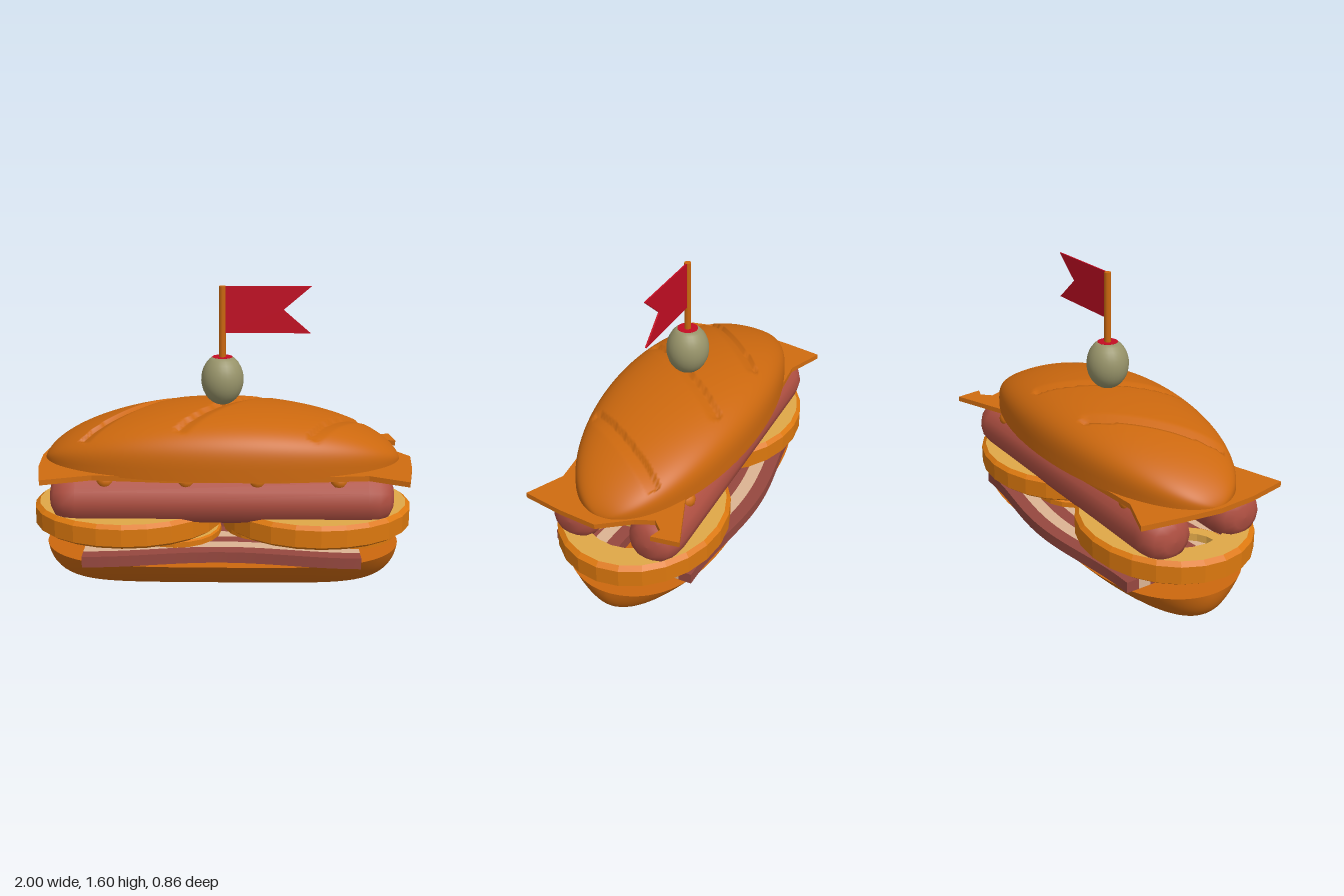
import * as THREE from 'three';

const mat = (name, color, flat = false) => {
  const m = new THREE.MeshStandardMaterial({ color });
  m.name = name;
  m.flatShading = flat;
  return m;
};

export function createModel() {
  const model = new THREE.Group();
  const M = {
    bun: mat('crust', 0xcc680e),
    cheese: mat('cheese', 0xcf6c10),
    batter: mat('batter', 0xdc780e, true),
    onion: mat('onion', 0xe0a848),
    sausage: mat('sausage', 0xb05042),
    bacon: mat('bacon red', 0x96483f),
    fat: mat('bacon fat', 0xdcb492),
    olive: mat('olive', 0x98946a),
    red: mat('red', 0xc40d23),
  };
  M.red.side = THREE.DoubleSide;

  const add = (name, geo, material, x = 0, y = 0, z = 0, parent = model) => {
    const mesh = new THREE.Mesh(geo, material);
    mesh.name = name;
    mesh.position.set(x, y, z);
    parent.add(mesh);
    return mesh;
  };

  // Grid surface from f(u, v), both -1..1; up selects the facing side
  const surface = (f, nu, nv, up) => {
    const pos = [], idx = [];
    for (let i = 0; i <= nu; i++)
      for (let j = 0; j <= nv; j++) pos.push(...f((i / nu) * 2 - 1, (j / nv) * 2 - 1));
    for (let i = 0; i < nu; i++)
      for (let j = 0; j < nv; j++) {
        const a = i * (nv + 1) + j, b = a + 1, c = a + nv + 1, d = c + 1;
        idx.push(...(up ? [a, b, c, b, d, c] : [a, c, b, b, c, d]));
      }
    const g = new THREE.BufferGeometry();
    g.setAttribute('position', new THREE.Float32BufferAttribute(pos, 3));
    g.setIndex(idx);
    g.computeVertexNormals();
    return g;
  };
  const ease = (t) => Math.sin((t * Math.PI) / 2);
  const clamp0 = (v) => Math.max(0, v);

  // Bottom bun: shallow boat shape with a flat cut face
  const bottom = (h) => (u, v) => {
    const e = ease(u), t = ease(v);
    const halfWidth = 0.4 * Math.sqrt(clamp0(1 - e ** 4));
    const drop = h * Math.sqrt(clamp0(1 - e ** 8)) * (1 - t * t);
    return [0.94 * e, 0.235 - drop, halfWidth * t];
  };
  add('bottomBun', surface(bottom(0.23), 48, 24, false), M.bun);
  add('bottomBunCut', surface(bottom(0), 48, 4, true), M.bun);

  // Top bun: loaf dome with three diagonal scores, steep on one side
  const scores = [
    [-0.72, 0.19, -0.22, -0.3],
    [-0.23, 0.29, 0.24, -0.3],
    [0.43, 0.28, 0.74, -0.21],
  ];
  const scoreDepth = (x, z) => {
    let depth = 0;
    for (const [x0, z0, x1, z1] of scores) {
      const dx = x1 - x0, dz = z1 - z0, len = Math.hypot(dx, dz);
      const along = ((x - x0) * dx + (z - z0) * dz) / len;
      const across = ((x - x0) * -dz + (z - z0) * dx) / len;
      if (along > 0 && along < len && across > 0 && across < 0.07)
        depth = 0.022 * (1 - across / 0.07);
    }
    return depth;
  };
  const top = (h) => (u, v) => {
    const e = ease(u), t = ease(v), k = clamp0(1 - e * e);
    const x = 0.93 * e, z = 0.41 * Math.sqrt(k) * t;
    const rise = h * k ** 0.6 * clamp0(1 - t * t) ** 0.25;
    return [x, 0.695 + rise - (h ? Math.min(rise, scoreDepth(x, z)) : 0), z];
  };
  add('topBun', surface(top(0.302), 150, 70, true), M.bun);
  add('topBunCut', surface(top(0), 48, 4, false), M.bun);

  // Bacon: two wavy rashers of five stripes each
  [0.2, -0.22].forEach((zc, r) => {
    const rasher = new THREE.Group();
    rasher.name = r ? 'backBacon' : 'frontBacon';
    model.add(rasher);
    for (let s = -2; s <= 2; s++) {
      const g = new THREE.BoxGeometry(1.41, 0.058, 0.07, 28, 1, 1);
      const p = g.attributes.position;
      for (let i = 0; i < p.count; i++)
        p.setZ(i, p.getZ(i) - 0.035 * Math.cos((p.getX(i) / 0.7) * Math.PI));
      g.computeVertexNormals();
      add('baconStripe', g, s % 2 ? M.fat : M.bacon, 0, 0.265, zc + s * 0.07, rasher);
    }
  });

  // Onion rings: battered outer wall, pale top, hole and underside
  const ring = (name, x, z, rx, rz, y0, y1, sides) => {
    const g = new THREE.Group();
    g.name = name;
    g.position.set(x, 0, z);
    g.scale.set(rx, 1, rz);
    model.add(g);
    const h = y1 - y0;
    const pts = (list) => list.map(([r, f]) => new THREE.Vector2(r, y0 + f * h));
    add('batter', new THREE.LatheGeometry(pts([[0.94, 0], [1, 0.15], [1, 0.85], [0.95, 1]]), sides), M.batter, 0, 0, 0, g);
    const inner = new THREE.LatheGeometry(pts([[0.95, 1], [0.7, 1], [0.7, 0], [0.94, 0]]), sides).toNonIndexed();
    inner.computeVertexNormals();
    add('onion', inner, M.onion, 0, 0, 0, g);
  };
  for (const s of [-1, 1]) ring('largeOnionRing', s * 0.5, 0, 0.5, 0.425, 0.335, 0.465, 24);
  [[-0.68, 0.02], [-0.24, 0.06], [0.24, -0.03], [0.68, 0.06]].forEach(([x, z]) =>
    ring('smallOnionRing', x, z, 0.235, 0.245, 0.295, 0.336, 20));

  // Sausages lying side by side
  const end = [[0, 0.88], [0.06, 0.875], [0.105, 0.85], [0.132, 0.8], [0.14, 0.74]];
  const profile = [
    ...end.map(([r, y]) => new THREE.Vector2(r, -y)),
    ...end.slice().reverse().map(([r, y]) => new THREE.Vector2(r, y)),
  ];
  for (const z of [0.21, -0.21])
    add('sausage', new THREE.LatheGeometry(profile, 14), M.sausage, 0, 0.552, z).rotation.z = Math.PI / 2;

  // Sauce drops on the sausages
  for (const x of [-0.59, -0.18, 0.18, 0.59])
    for (const z of [0.28, -0.28])
      add('sauceDrop', new THREE.SphereGeometry(0.045, 12, 8), M.cheese, x, 0.66, z);

  // Cheese slice with pointed corners and a bite in one end
  const outline = [
    [-0.88, 0.41], [-0.68, 0.33], [-0.3, 0.36], [0.3, 0.36], [0.62, 0.29], [0.93, 0.41],
    [0.95, 0.27], [0.89, 0.29], [0.84, 0.24], [0.88, 0.15], [0.99, 0], [0.97, -0.2],
    [0.93, -0.41], [0.74, -0.32], [0.3, -0.36], [-0.3, -0.36], [-0.65, -0.33], [-0.9, -0.41],
    [-0.94, -0.2], [-0.95, 0], [-0.92, 0.2],
  ].map(([x, y]) => new THREE.Vector2(x, y));
  const slice = new THREE.ExtrudeGeometry(new THREE.Shape(outline), { depth: 0.027, bevelEnabled: false });
  add('cheeseSlice', slice, M.cheese, 0, 0.675, 0).rotation.x = -Math.PI / 2;

  // Olive with an open top and a red filling
  const olivePts = [];
  for (let i = 0; i <= 14; i++) {
    const a = -Math.PI / 2 + (i / 14) * (Math.PI - 0.5);
    olivePts.push(new THREE.Vector2(0.11 * Math.cos(a), 1.118 + 0.134 * Math.sin(a)));
  }
  olivePts.push(new THREE.Vector2(0.048, 1.225));
  add('olive', new THREE.LatheGeometry(olivePts, 24), M.olive);
  add('oliveFilling', new THREE.CylinderGeometry(0.053, 0.05, 0.02, 20), M.red, 0, 1.226, 0);

  // Cocktail stick and swallowtail flag
  add('stick', new THREE.CylinderGeometry(0.018, 0.018, 0.65, 8), M.bun, 0, 1.275, 0);
  const flag = new THREE.Shape(
    [[0.01, 1.36], [0.45, 1.36], [0.31, 1.48], [0.45, 1.6], [0.01, 1.6]].map(([x, y]) => new THREE.Vector2(x, y)));
  add('flag', new THREE.ExtrudeGeometry(flag, { depth: 0.008, bevelEnabled: false }), M.red, 0, 0, -0.004);

  return model;
}
